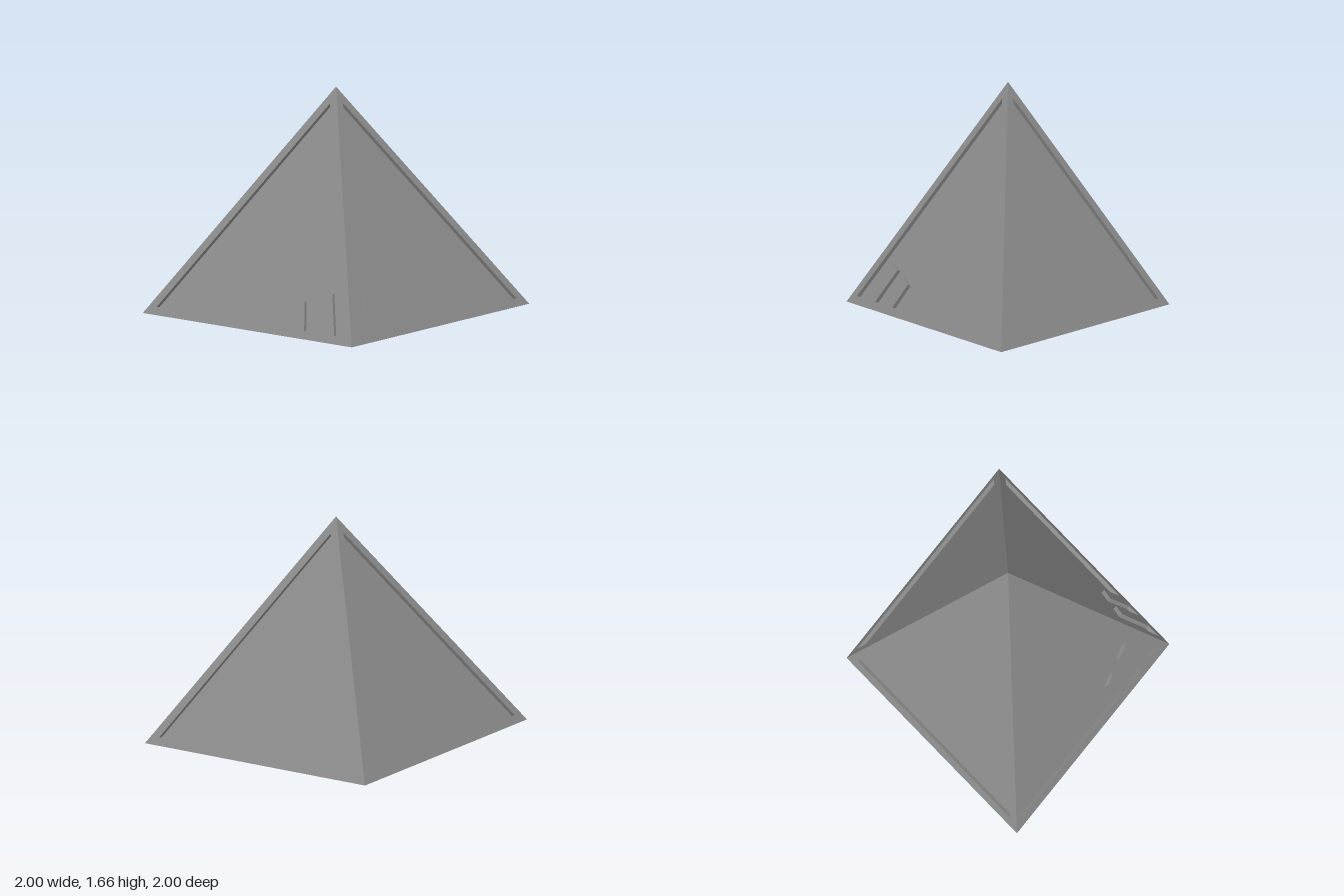
import * as THREE from 'three';

const HEIGHT = 1.665, WIDE = 1, NARROW = 0.832, DEPTH = 0.03;
const material = new THREE.MeshStandardMaterial({ color: 0x888888, flatShading: true });
const V = (x, y, z) => new THREE.Vector3(x, y, z);
const toShape = (points) => new THREE.Shape(points.map(([h, y]) => new THREE.Vector2(h, y)));

// Walls that drop from a counter-clockwise outline down to the recessed panel
function recessWalls(outline) {
  const pos = [];
  outline.forEach((p, i) => {
    const q = outline[(i + 1) % outline.length];
    pos.push(...p, 0, ...q, 0, ...p, -DEPTH, ...q, 0, ...q, -DEPTH, ...p, -DEPTH);
  });
  const geo = new THREE.BufferGeometry();
  geo.setAttribute('position', new THREE.Float32BufferAttribute(pos, 3));
  return geo;
}

// One sloping side: drawn flat as (horizontal, height), then laid on the slope
function makeSide(name, a, b, hA, hB, outline) {
  const along = b.clone().sub(a).divideScalar(hB - hA);
  const origin = a.clone().addScaledVector(along, -hA);
  const up = V(0, HEIGHT, 0).sub(origin).divideScalar(HEIGHT);
  const normal = along.clone().cross(up).normalize();
  const slope = new THREE.Matrix4().makeBasis(along, up, normal).setPosition(origin);

  const frame = toShape([[hA, 0], [hB, 0], [0, HEIGHT]]);
  frame.holes.push(new THREE.Path(toShape(outline).getPoints()));
  const parts = {
    Frame: new THREE.ShapeGeometry(frame),
    Panel: new THREE.ShapeGeometry(toShape(outline)).translate(0, 0, -DEPTH),
    RecessWalls: recessWalls(outline),
  };
  const side = new THREE.Group();
  side.name = name;
  for (const [part, geo] of Object.entries(parts)) {
    geo.applyMatrix4(slope);
    geo.computeVertexNormals();
    const mesh = new THREE.Mesh(geo, material);
    mesh.name = name + part;
    side.add(mesh);
  }
  return side;
}

export function createModel() {
  const model = new THREE.Group();
  model.name = 'pyramid';

  // Base corners, skewed into a rhombus
  const frontRight = V(-WIDE, 0, WIDE), frontLeft = V(NARROW, 0, NARROW), backLeft = V(WIDE, 0, -WIDE);

  // Panel outlines: the plain ones, and those notched by two slanted bars
  const plainA = [[-0.9, 0.055], [0.743, 0.055], [-0.004, 1.55]];
  const plainB = [[-0.743, 0.055], [0.9, 0.055], [0.004, 1.55]];
  const barsA = [
    [-0.9, 0.055],
    [0.29, 0.055], [0.225, 0.208], [0.315, 0.246], [0.392, 0.055],
    [0.53, 0.055], [0.418, 0.289], [0.526, 0.326], [0.655, 0.055],
    [0.743, 0.055], [-0.004, 1.55],
  ];
  const barsB = [
    [-0.743, 0.055],
    [-0.638, 0.055], [-0.503, 0.326], [-0.418, 0.294], [-0.53, 0.055],
    [-0.433, 0.055], [-0.342, 0.263], [-0.253, 0.226], [-0.325, 0.055],
    [0.9, 0.055], [0.004, 1.55],
  ];

  // Front and left sides carry the bars; the opposite sides are plain half-turns
  const front = makeSide('frontSide', frontRight, frontLeft, -WIDE, NARROW, barsA);
  const left = makeSide('leftSide', frontLeft, backLeft, -NARROW, WIDE, barsB);
  const back = makeSide('backSide', frontRight, frontLeft, -WIDE, NARROW, plainA);
  const right = makeSide('rightSide', frontLeft, backLeft, -NARROW, WIDE, plainB);
  back.rotation.y = right.rotation.y = Math.PI;
  model.add(front, left, back, right);

  // Flat underside
  const baseShape = toShape([[-WIDE, WIDE], [-NARROW, -NARROW], [WIDE, -WIDE], [NARROW, NARROW]]);
  const base = new THREE.Mesh(new THREE.ShapeGeometry(baseShape).rotateX(Math.PI / 2), material);
  base.name = 'base';
  model.add(base);
  return model;
}
